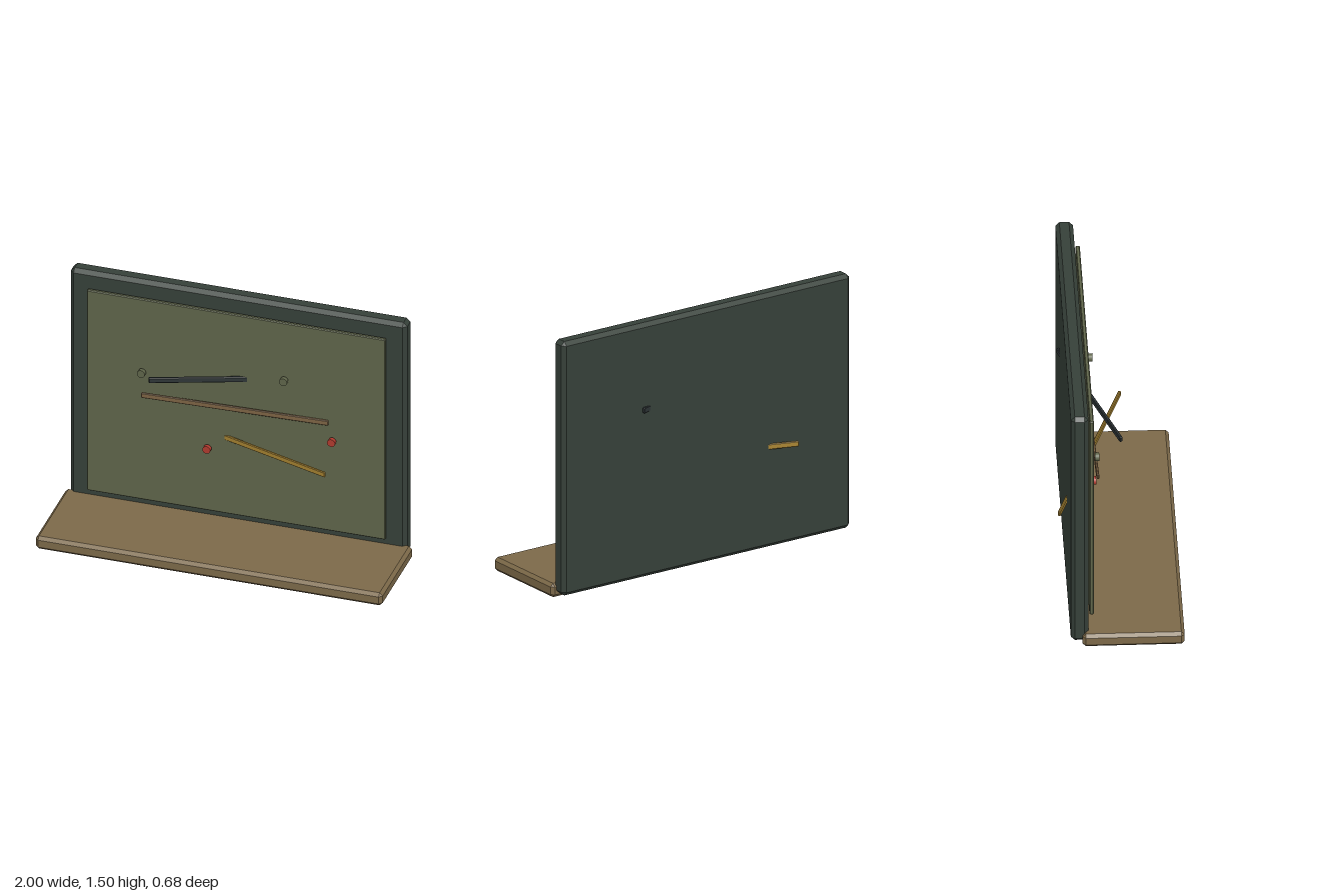
import * as THREE from 'three';
import { ConvexGeometry } from 'three/addons/geometries/ConvexGeometry.js';

const material = (name, color) => {
  const m = new THREE.MeshStandardMaterial({ color });
  m.name = name;
  return m;
};

// Box with every edge cut at 45 degrees by c
function chamferBox(w, h, d, c) {
  const half = [w / 2, h / 2, d / 2];
  const points = [];
  for (const sx of [-1, 1]) for (const sy of [-1, 1]) for (const sz of [-1, 1]) {
    const signs = [sx, sy, sz];
    for (let keep = 0; keep < 3; keep++) {
      points.push(new THREE.Vector3(...half.map((v, i) => signs[i] * (i === keep ? v : v - c))));
    }
  }
  return new ConvexGeometry(points);
}

export function createModel() {
  const group = new THREE.Group();
  group.name = 'noticeBoard';

  const wood = material('wood', 0x7c6949);
  const darkGreen = material('dark green', 0x364039);
  const olive = material('olive', 0x5f654a);
  const charcoal = material('charcoal', 0x2d3436);
  const brown = material('brown', 0x7d6344);
  const gold = material('gold', 0xa88432);
  const red = material('red', 0xb03a2e);

  const add = (name, geometry, mat, x, y, z, turn = 0) => {
    const mesh = new THREE.Mesh(geometry, mat);
    mesh.name = name;
    mesh.position.set(x, y, z);
    mesh.rotation.y = turn;
    group.add(mesh);
  };

  // Shelf, backing board and front panel
  add('shelf', chamferBox(2, 0.08, 0.56, 0.018), wood, 0, 0.04, 0.057);
  add('backBoard', chamferBox(1.94, 1.48, 0.097, 0.022), darkGreen, 0, 0.76, -0.238);
  add('panel', chamferBox(1.72, 1.28, 0.024, 0.005), olive, 0, 0.763, -0.168);

  // Thin bars, turned about the vertical axis
  add('darkBar', chamferBox(0.94, 0.032, 0.018, 0.004), charcoal, -0.005, 1, -0.142, 0.335);
  add('brownBar', chamferBox(1.07, 0.032, 0.015, 0.004), brown, 0, 0.815, -0.135, 0.03);
  add('goldBar', chamferBox(1.225, 0.032, 0.015, 0.004), gold, 0, 0.607, -0.142, -0.32);

  // Round pins facing forward
  const pin = new THREE.CylinderGeometry(0.023, 0.023, 0.024, 16).rotateX(Math.PI / 2);
  const pins = [
    [-0.535, 0.95, olive], [0.285, 1.05, olive],
    [-0.157, 0.535, red], [0.562, 0.712, red],
  ];
  for (const [x, y, mat] of pins) add('pin', pin, mat, x, y, -0.124);

  return group;
}
